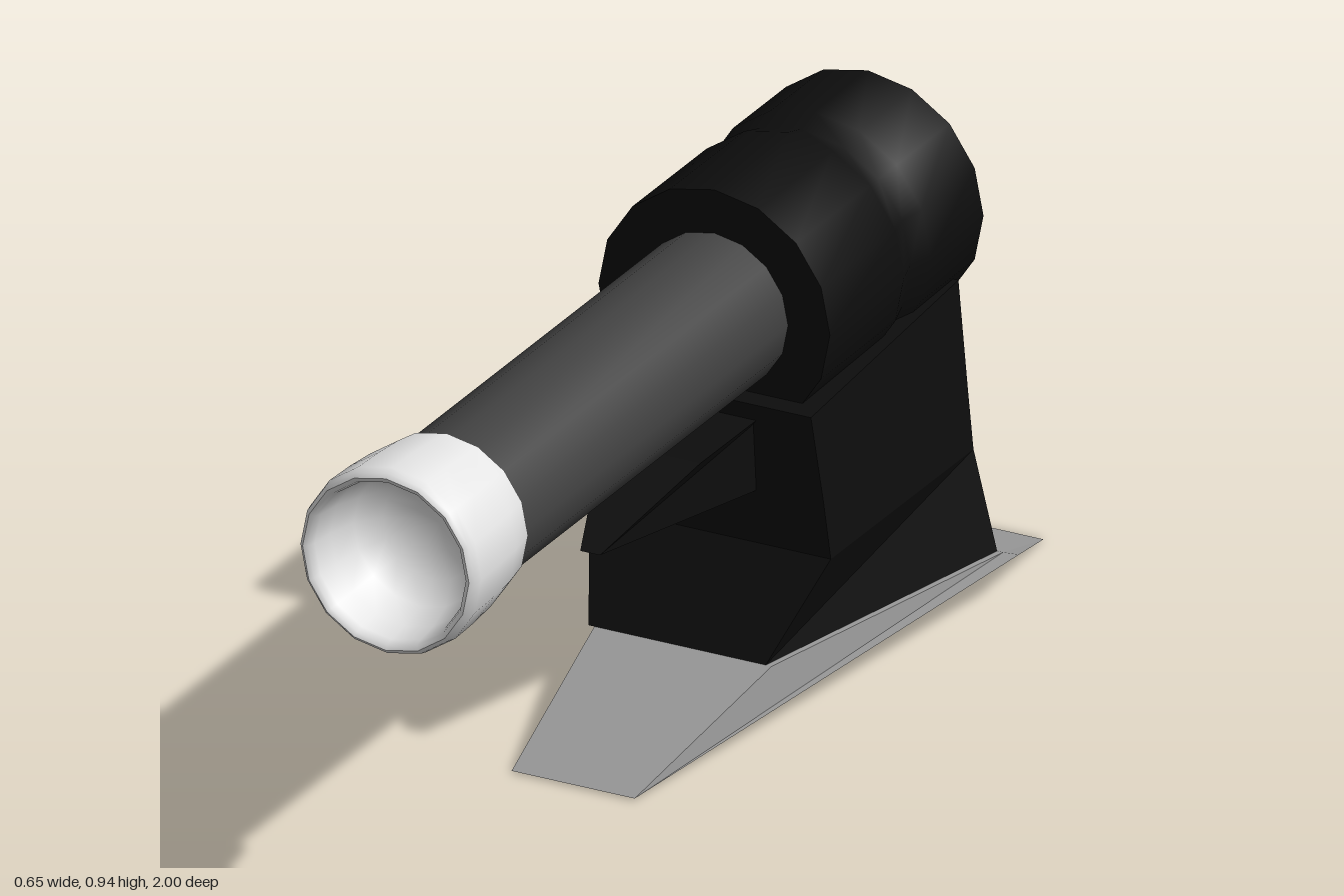
import * as THREE from 'three';
import { toCreasedNormals } from 'three/addons/utils/BufferGeometryUtils.js';

const mat = (name, color) => Object.assign(new THREE.MeshStandardMaterial({ color }), { name });

// Loft of stacked rings. Each ring lists its +x points front to back; the -x half is mirrored about cx.
function loft(rings, cx = 0) {
  const pos = [];
  const quad = (a, b, c, d) => pos.push(...a, ...b, ...c, ...a, ...c, ...d);
  const left = (ring) => ring.map(([x, y, z]) => [cx + x, y, z]);
  const right = (ring) => ring.map(([x, y, z]) => [cx - x, y, z]);
  const loops = rings.map((r) => [...left(r), ...right(r).reverse()]);
  for (let k = 0; k < loops.length - 1; k++) {
    const lo = loops[k], hi = loops[k + 1], n = lo.length;
    for (let i = 0; i < n; i++) {
      const j = (i + 1) % n;
      quad(lo[i], lo[j], hi[j], hi[i]);
    }
  }
  const cap = (ring, up) => {
    const l = left(ring), r = right(ring);
    for (let i = 0; i < l.length - 1; i++) {
      if (up) quad(l[i], l[i + 1], r[i + 1], r[i]);
      else quad(r[i], r[i + 1], l[i + 1], l[i]);
    }
  };
  cap(rings[0], false);
  cap(rings[rings.length - 1], true);
  const geo = new THREE.BufferGeometry();
  geo.setAttribute('position', new THREE.Float32BufferAttribute(pos, 3));
  geo.computeVertexNormals();
  return geo;
}

// Turned part along z from [radius, z] pairs, on the tube axis.
function turned(profile) {
  const geo = new THREE.LatheGeometry(profile.map(([r, z]) => new THREE.Vector2(r, z)), 16);
  geo.rotateX(Math.PI / 2).translate(-0.02, 0.705, 0);
  return toCreasedNormals(geo, 0.8);
}

export function createModel() {
  const group = new THREE.Group();
  const black = mat('black', 0x0d0d0d);
  const darkGrey = mat('dark grey', 0x424242);
  const grey = mat('grey', 0x999999);
  const white = mat('off white', 0xe4e4e4);
  const add = (name, geo, material) => {
    const mesh = new THREE.Mesh(geo, material);
    mesh.name = name;
    group.add(mesh);
  };

  // Wedge-shaped base plate
  const nose = [0.125, 0.004, 0.33], tail = [0.24, 0, -1];
  const deckBack = [0.295, 0.09, -0.745];
  add('base', loft([
    [nose, [0.17, 0.03, 0.05], tail],
    [nose, [0.325, 0.09, -0.75], tail],
    [[0.18, 0.108, -0.085], deckBack, deckBack],
  ]), grey);

  // Pedestal tapering up to the housing
  add('pedestal', loft([
    [[0.18, 0.108, -0.085], [0.295, 0.09, -0.745]],
    [[0.245, 0.28, -0.21], [0.247, 0.28, -0.745]],
    [[0.23, 0.39, -0.21], [0.235, 0.39, -0.747]],
    [[0.21, 0.555, -0.2], [0.21, 0.6, -0.757]],
  ], -0.012), black);

  // Pointed spur under the barrel
  add('spur', loft([
    [[0.02, 0.405, 0.21], [0.12, 0.38, -0.25]],
    [[0.1, 0.51, -0.02], [0.12, 0.528, -0.25]],
  ], -0.03), black);

  // Round housing with a shallow groove
  add('housing', turned([
    [0, -0.82], [0.235, -0.82], [0.235, -0.62], [0.221, -0.57],
    [0.235, -0.52], [0.235, -0.24], [0, -0.24],
  ]), black);

  add('barrel', turned([[0, -0.26], [0.15, -0.26], [0.15, 0.78], [0, 0.78]]), darkGrey);

  // Hollow muzzle with a rounded lip and a bowl inside
  add('muzzle', turned([
    [0.145, 0.77], [0.165, 0.77], [0.174, 0.83], [0.179, 0.9], [0.181, 0.975],
    [0.177, 0.993], [0.169, 1], [0.16, 0.995], [0.155, 0.98],
    [0.15, 0.93], [0.135, 0.87], [0.1, 0.825], [0.05, 0.803], [0, 0.797],
  ]), white);

  return group;
}
